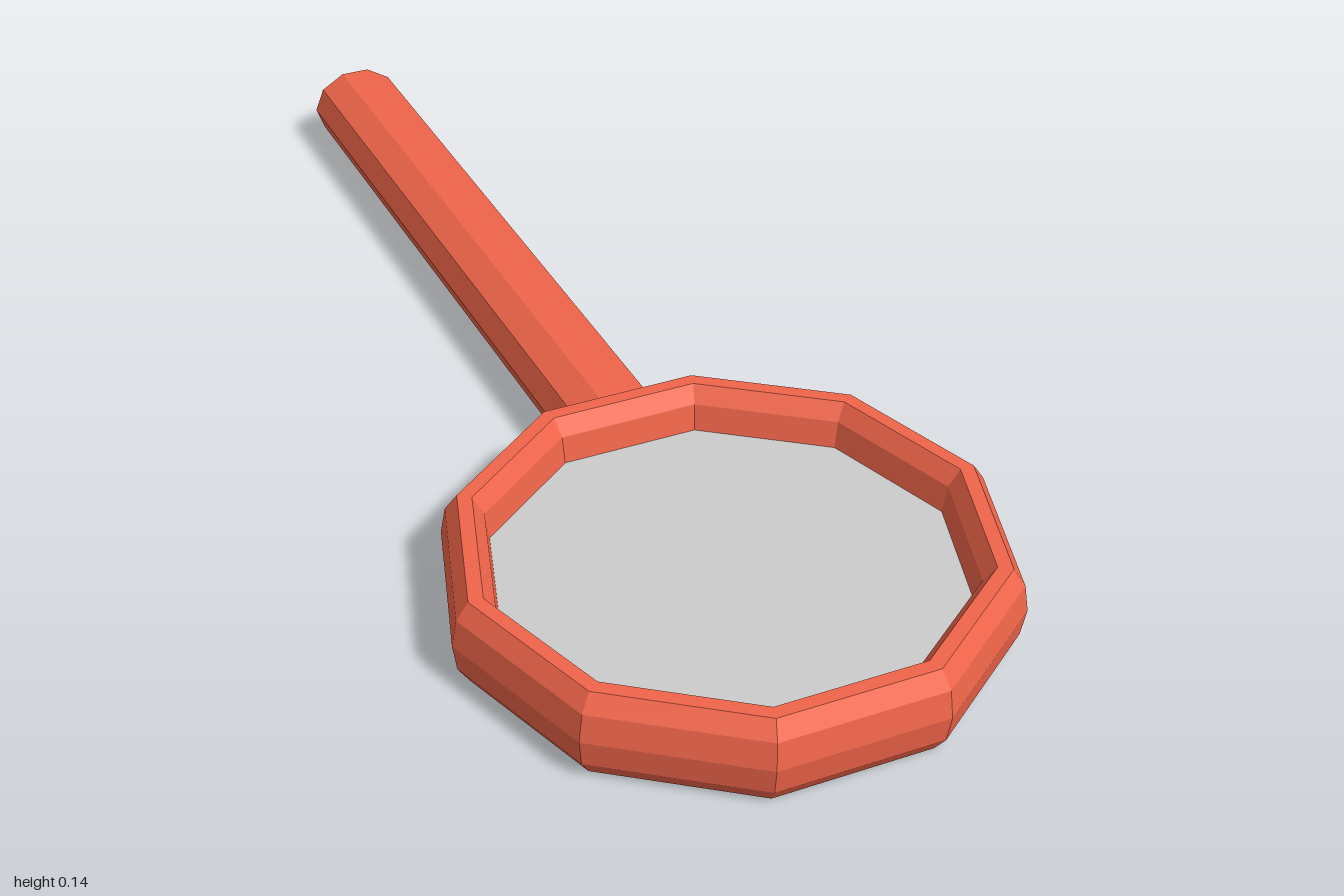
import * as THREE from 'three';

const SIDES = 10;

export function createModel() {
  const group = new THREE.Group();
  const red = { color: 0xf0654a };
  const flatRed = new THREE.MeshStandardMaterial({ ...red, flatShading: true });
  const smoothRed = new THREE.MeshStandardMaterial(red);
  const grey = new THREE.MeshStandardMaterial({ color: 0xcccccc, side: THREE.DoubleSide });

  function add(name, geometry, material, x, y, z) {
    const mesh = new THREE.Mesh(geometry, material);
    mesh.name = name;
    mesh.position.set(x, y, z);
    group.add(mesh);
  }

  // Ten-sided frame: a torus laid flat and stretched to twice its height
  const frame = new THREE.TorusGeometry(0.39, 0.0368, SIDES, SIDES);
  frame.rotateX(-Math.PI / 2).scale(1, 2, 1);
  add('frame', frame, flatRed, 0, 0.07, 0.594);

  // Lens: thin pane across the middle of the frame
  const lens = new THREE.CircleGeometry(0.356, SIDES);
  lens.rotateX(-Math.PI / 2);
  add('lens', lens, grey, 0, 0.07, 0.594);

  // Handle: ten-sided bar, slightly flattened, running back from the frame
  const radius = 0.08, flatten = 0.84, front = 0.22, back = -0.968;
  const handle = new THREE.CylinderGeometry(radius, radius, front - back, SIDES, 1, false, Math.PI / 2);
  handle.rotateX(-Math.PI / 2).scale(1, flatten, 1);
  add('handle', handle, flatRed, -0.005, 0.072, (front + back) / 2);

  // Shallow domed end of the handle
  const dome = [[1, 0], [0.85, 0.014], [0.5, 0.026], [0, 0.032]]
    .map(([r, h]) => new THREE.Vector2(r * radius, h));
  const cap = new THREE.LatheGeometry(dome, SIDES, Math.PI / 2);
  cap.rotateX(-Math.PI / 2).scale(1, flatten, 1);
  add('handleCap', cap, smoothRed, -0.005, 0.072, back);

  return group;
}
